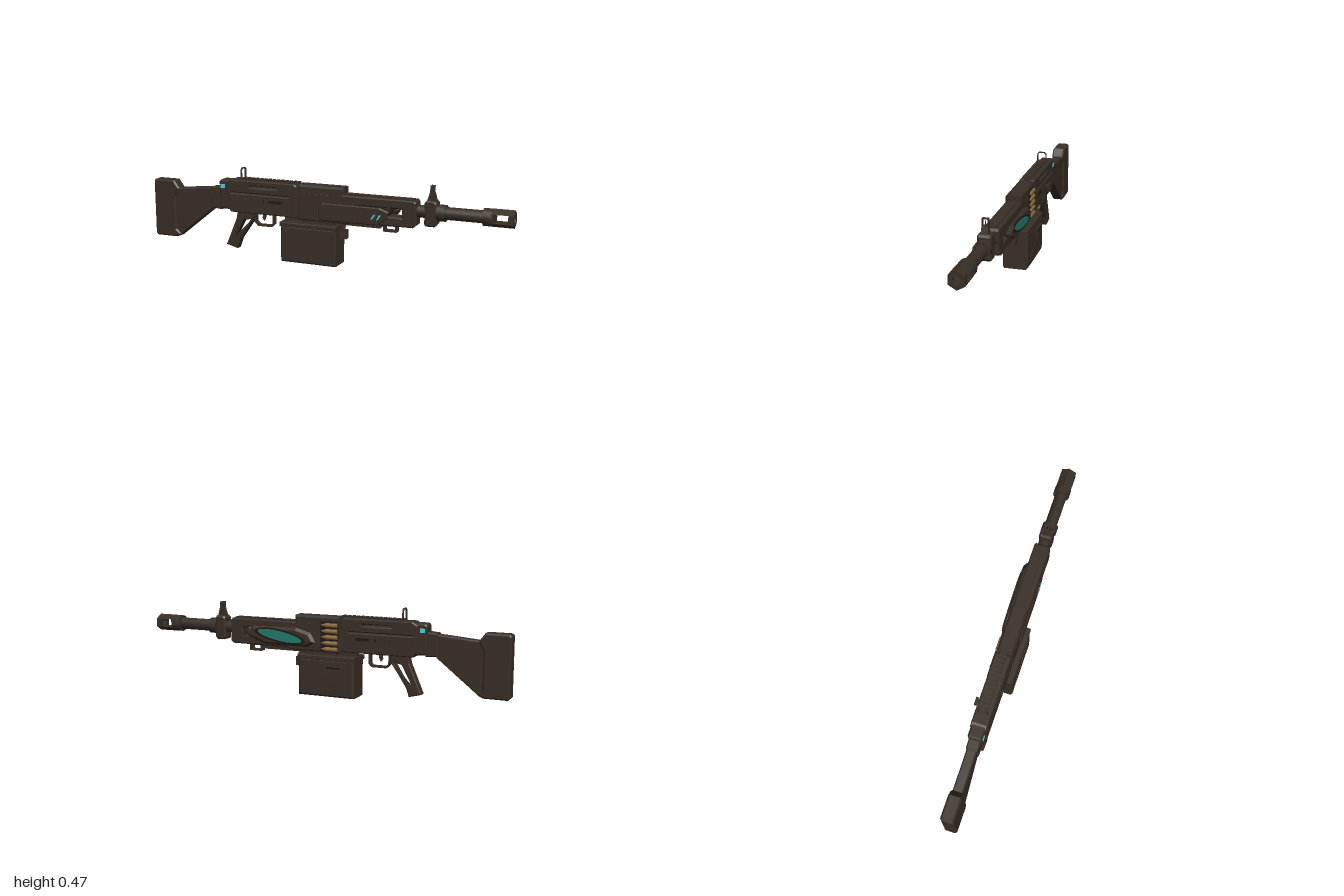
import * as THREE from 'three';
import { toCreasedNormals } from 'three/addons/utils/BufferGeometryUtils.js';

export function createModel() {
  const model = new THREE.Group();
  model.name = 'rifle';
  const paint = (name, color) => {
    const m = new THREE.MeshStandardMaterial({ color });
    m.name = name;
    return m;
  };
  const metal = paint('brownMetal', 0x382e25);
  const dark = paint('darkRecess', 0x1e1913);
  const cyan = paint('cyanGlow', 0x4fd0dc);
  const teal = paint('tealMesh', 0x23796a);
  const brass = paint('brass', 0x8a6b3e);

  const add = (name, geo, mat = metal) => {
    const mesh = new THREE.Mesh(geo, mat);
    mesh.name = name;
    model.add(mesh);
    return mesh;
  };
  // Box given by its limits on each axis
  const box = (name, x0, x1, y0, y1, z0, z1, mat) => {
    const mesh = add(name, new THREE.BoxGeometry(x1 - x0, y1 - y0, z1 - z0), mat);
    mesh.position.set((x0 + x1) / 2, (y0 + y1) / 2, (z0 + z1) / 2);
    return mesh;
  };
  const toPoints = (list) => list.map(([x, y]) => new THREE.Vector2(x, y));
  const rect = (x0, x1, y0, y1) => [[x0, y0], [x1, y0], [x1, y1], [x0, y1]];
  // Side outline with holes, extruded across z with chamfered edges
  const slab = (name, outline, z0, z1, bevel = 0, holes = [], mat = metal) => {
    const shape = new THREE.Shape(toPoints(outline));
    holes.forEach((h) => shape.holes.push(new THREE.Path(toPoints(h))));
    const geo = new THREE.ExtrudeGeometry(shape, {
      depth: z1 - z0 - 2 * bevel, bevelEnabled: bevel > 0, bevelThickness: bevel,
      bevelSize: bevel, bevelOffset: -bevel, bevelSegments: 1,
    });
    geo.translate(0, 0, z0 + bevel);
    return add(name, geo, mat);
  };
  // Outline in the (z, y) plane, extruded along x
  const section = (name, outline, x0, x1, holes = []) => {
    const shape = new THREE.Shape(toPoints(outline));
    holes.forEach((h) => shape.holes.push(new THREE.Path(toPoints(h))));
    const geo = new THREE.ExtrudeGeometry(shape, { depth: x1 - x0, bevelEnabled: false });
    geo.rotateY(Math.PI / 2).translate(x0, 0, 0);
    return add(name, geo);
  };
  const AXIS = 0.322;
  const tube = (name, x0, x1, r0, r1 = r0, sides = 16) => {
    const geo = new THREE.CylinderGeometry(r1, r0, x1 - x0, sides);
    geo.rotateZ(-Math.PI / 2).translate((x0 + x1) / 2, AXIS, 0);
    return add(name, toCreasedNormals(geo, 0.6));
  };

  // Shoulder stock with its triangular opening
  slab('stock', [[-0.87, 0.06], [-0.85, 0.065], [-0.63, 0.24], [-0.63, 0.355], [-0.87, 0.335]],
    -0.026, 0.026, 0.006, [[[-0.865, 0.118], [-0.66, 0.272], [-0.68, 0.288], [-0.865, 0.275]]]);
  slab('buttPad', [[-0.99, 0.06], [-0.865, 0.06], [-0.84, 0.08], [-0.865, 0.105], [-0.865, 0.29], [-0.84, 0.335],
    [-0.872, 0.378], [-0.99, 0.378], [-1, 0.368], [-1, 0.07]], -0.034, 0.034, 0.008);
  slab('stockHinge', [[-0.635, 0.245], [-0.575, 0.24], [-0.575, 0.365], [-0.635, 0.36]], -0.031, 0.031, 0.006);
  slab('rearCap', [[-0.585, 0.25], [-0.52, 0.245], [-0.52, 0.405], [-0.575, 0.405], [-0.585, 0.395]], -0.037, 0.037, 0.008);
  for (const s of [-1, 1]) box('capLight', -0.575, -0.549, 0.361, 0.382, s * 0.0385 - 0.002, s * 0.0385 + 0.002, cyan);

  // Receiver with narrow slots right through it
  slab('receiver', [[-0.515, 0.235], [-0.125, 0.235], [-0.125, 0.4], [-0.14, 0.411], [-0.51, 0.411], [-0.535, 0.395], [-0.53, 0.26]],
    -0.042, 0.042, 0.005, [rect(-0.4, -0.24, 0.374, 0.384), rect(-0.515, -0.17, 0.338, 0.342)]);
  slab('receiverRear', rect(-0.13, -0.11, 0.24, 0.405), -0.038, 0.038);
  for (const s of [-1, 1]) {
    box('boltSlot', -0.32, -0.21, 0.3, 0.314, s * 0.0425 - 0.0015, s * 0.0425 + 0.0015, dark);
    box('boltTab', -0.312, -0.285, 0.296, 0.318, s * 0.045 - 0.003, s * 0.045 + 0.003);
    for (const [x, y] of [[-0.49, 0.27], [-0.17, 0.26], [-0.3, 0.262]]) {
      const pin = add('pin', new THREE.CylinderGeometry(0.007, 0.007, 0.004, 10));
      pin.rotation.x = Math.PI / 2;
      pin.position.set(x, y, s * 0.043);
    }
  }
  // Charging handle on the rear side
  box('chargingArm', -0.386, -0.372, 0.298, 0.312, -0.062, -0.038);
  box('chargingKnob', -0.398, -0.36, 0.292, 0.32, -0.07, -0.058);

  // Top rail with teeth
  box('rail', -0.5, -0.125, 0.405, 0.413, -0.018, 0.018);
  for (let i = 0; i < 14; i++) {
    const x = -0.455 + i * 0.0245;
    box('railTooth', x, x + 0.014, 0.411, 0.421, -0.017, 0.017);
  }
  // Rear sight hoop
  section('rearSight', [[-0.026, 0.408], [0.026, 0.408], [0.026, 0.464], [0.016, 0.474], [-0.016, 0.474], [-0.026, 0.464]],
    -0.459, -0.451, [[[-0.021, 0.414], [0.021, 0.414], [0.021, 0.461], [0.013, 0.469], [-0.013, 0.469], [-0.021, 0.461]]]);

  // Feed cover and handguard
  slab('feedCover', rect(-0.118, 0.135, 0.355, 0.413), -0.041, 0.041, 0.01);
  slab('handguard', [[-0.118, 0.228], [0.16, 0.228], [0.18, 0.238], [0.505, 0.24], [0.52, 0.252], [0.52, 0.365], [0.51, 0.376], [-0.118, 0.376]],
    -0.042, 0.042, 0.006, [[[0.375, 0.288], [0.448, 0.284], [0.448, 0.33], [0.39, 0.33]]]);
  box('handguardRib', 0.135, 0.5, 0.374, 0.381, -0.022, 0.022);
  slab('sidePanel', [[0.0, 0.237], [0.32, 0.237], [0.37, 0.275], [0.38, 0.31], [0.33, 0.328], [0.02, 0.328], [0, 0.31]], 0.036, 0.048, 0.005);
  box('panelGroove', 0.2, 0.37, 0.331, 0.336, 0.041, 0.0435, dark);
  for (const x of [0.285, 0.315]) {
    slab('glowSlash', [[x, 0.263], [x + 0.012, 0.27], [x + 0.028, 0.295], [x + 0.014, 0.29]], 0.046, 0.0495, 0, [], cyan);
  }
  box('lowerGuide', 0.0, 0.33, 0.22, 0.24, -0.028, 0.028);

  // Pointed side housing holding a teal mesh window
  slab('meshHousing', [[0.01, 0.275], [0.06, 0.25], [0.3, 0.25], [0.4, 0.285], [0.42, 0.315], [0.37, 0.343], [0.12, 0.347], [0.04, 0.325]],
    -0.066, -0.036, 0.014);
  const lens = (r, half, n = 10) => {
    const pts = [];
    for (let i = 0; i < 2 * n; i++) {
      const a = (i / n) * Math.PI;
      pts.push([0.212 + half * Math.cos(a), 0.3 + 0.02 * Math.cos(a) + r * Math.sin(a)]);
    }
    return pts;
  };
  slab('meshRim', lens(0.034, 0.148), -0.068, -0.06, 0, [lens(0.026, 0.13)], dark);
  slab('tealWindow', lens(0.027, 0.132), -0.067, -0.062, 0, [], teal);

  // Cartridges in the feed opening
  box('feedOpening', -0.113, -0.015, 0.228, 0.388, -0.0435, -0.04, dark);
  for (let i = 0; i < 5; i++) {
    const y = 0.245 + i * 0.031;
    const shell = add('cartridge', new THREE.CylinderGeometry(0.012, 0.012, 0.066, 12), brass);
    shell.rotation.z = Math.PI / 2;
    shell.position.set(-0.076, y, -0.041);
    const tip = add('cartridgeTip', new THREE.CylinderGeometry(0.004, 0.011, 0.024, 12), brass);
    tip.rotation.z = -Math.PI / 2;
    tip.position.set(-0.031, y, -0.041);
  }

  // Small open foot below the handguard
  slab('underLoop', rect(0.345, 0.415, 0.204, 0.243), -0.02, 0.02, 0, [rect(0.352, 0.408, 0.211, 0.234)]);

  // Open frame grip, trigger and guard
  slab('grip', [[-0.555, 0.047], [-0.49, 0.03], [-0.47, 0.085], [-0.39, 0.2], [-0.385, 0.238], [-0.485, 0.238], [-0.49, 0.2]],
    -0.024, 0.024, 0.005, [[[-0.512, 0.074], [-0.485, 0.07], [-0.405, 0.2], [-0.45, 0.19]]]);
  slab('triggerGuard', [[-0.385, 0.24], [-0.385, 0.185], [-0.365, 0.165], [-0.285, 0.165], [-0.27, 0.18], [-0.27, 0.24]],
    -0.014, 0.014, 0, [[[-0.376, 0.232], [-0.376, 0.189], [-0.361, 0.174], [-0.289, 0.174], [-0.279, 0.184], [-0.279, 0.232]]]);
  slab('trigger', [[-0.335, 0.238], [-0.342, 0.21], [-0.332, 0.195], [-0.325, 0.212], [-0.318, 0.238]], -0.006, 0.006);

  // Ammunition box, lid, braces and latch
  slab('ammoBox', rect(-0.208, 0.103, 0, 0.195), -0.067, 0.067, 0.009);
  slab('ammoLid', rect(-0.213, 0.108, 0.19, 0.213), -0.069, 0.069, 0.003);
  box('feedNeck', -0.1, 0.08, 0.21, 0.24, -0.033, 0.033);
  box('neckClip', -0.205, -0.12, 0.21, 0.236, -0.012, 0.012);
  box('latch', 0.1, 0.143, 0.142, 0.19, -0.014, 0.014);
  box('latchHook', 0.1, 0.13, 0.185, 0.213, -0.01, 0.01);
  box('boxHandle', -0.15, -0.045, 0.14, 0.168, -0.076, -0.064);
  box('handleGrip', -0.135, -0.06, 0.15, 0.158, -0.0775, -0.0755, dark);
  for (const s of [-1, 1]) {
    for (const t of [-1, 1]) {
      const brace = add('boxBrace', new THREE.BoxGeometry(0.27, 0.004, 0.002));
      brace.position.set(-0.052, 0.095, s * 0.0672);
      brace.rotation.z = t * 0.48;
    }
  }

  // Barrel and gas block
  tube('barrel', 0.455, 0.87, 0.032);
  slab('gasBlock', [[0.56, 0.262], [0.568, 0.253], [0.612, 0.253], [0.622, 0.265], [0.622, 0.37], [0.612, 0.382], [0.57, 0.382], [0.56, 0.37]],
    -0.035, 0.035, 0.008);
  tube('barrelCollar', 0.62, 0.664, 0.042);
  tube('muzzleCollar', 0.85, 0.895, 0.044);

  // Front sight
  slab('sightBase', [[0.568, 0.378], [0.614, 0.378], [0.603, 0.42], [0.581, 0.42]], -0.016, 0.016);
  section('sightFrame', rect(-0.016, 0.016, 0.415, 0.456), 0.583, 0.601, [rect(-0.012, 0.012, 0.419, 0.452)]);
  const post = add('sightPost', new THREE.CylinderGeometry(0.001, 0.004, 0.03, 6), dark);
  post.position.set(0.592, 0.431, 0);

  // Six sided muzzle brake with a window through both sides
  const R = 0.045;
  const hex = [...Array(6)].map((_, i) => {
    const a = Math.PI / 2 + (i * Math.PI) / 3;
    return [R * Math.cos(a), AXIS + R * Math.sin(a)];
  });
  const bore = [...Array(16)].map((_, i) => [0.02 * Math.cos(i * Math.PI / 8), AXIS + 0.02 * Math.sin(i * Math.PI / 8)]);
  section('muzzleRear', hex, 0.89, 0.905);
  section('muzzleRing', hex, 0.974, 1, [bore]);
  for (const s of [-1, 1]) {
    section('muzzleBridge', [[-0.039, AXIS + s * 0.0225], [-0.0365, AXIS + s * 0.024], [0, AXIS + s * R], [0.0365, AXIS + s * 0.024], [0.039, AXIS + s * 0.0225]],
      0.9, 0.98);
  }

  model.position.z = 0.004;
  const root = new THREE.Group();
  root.name = 'model';
  root.add(model);
  return root;
}
